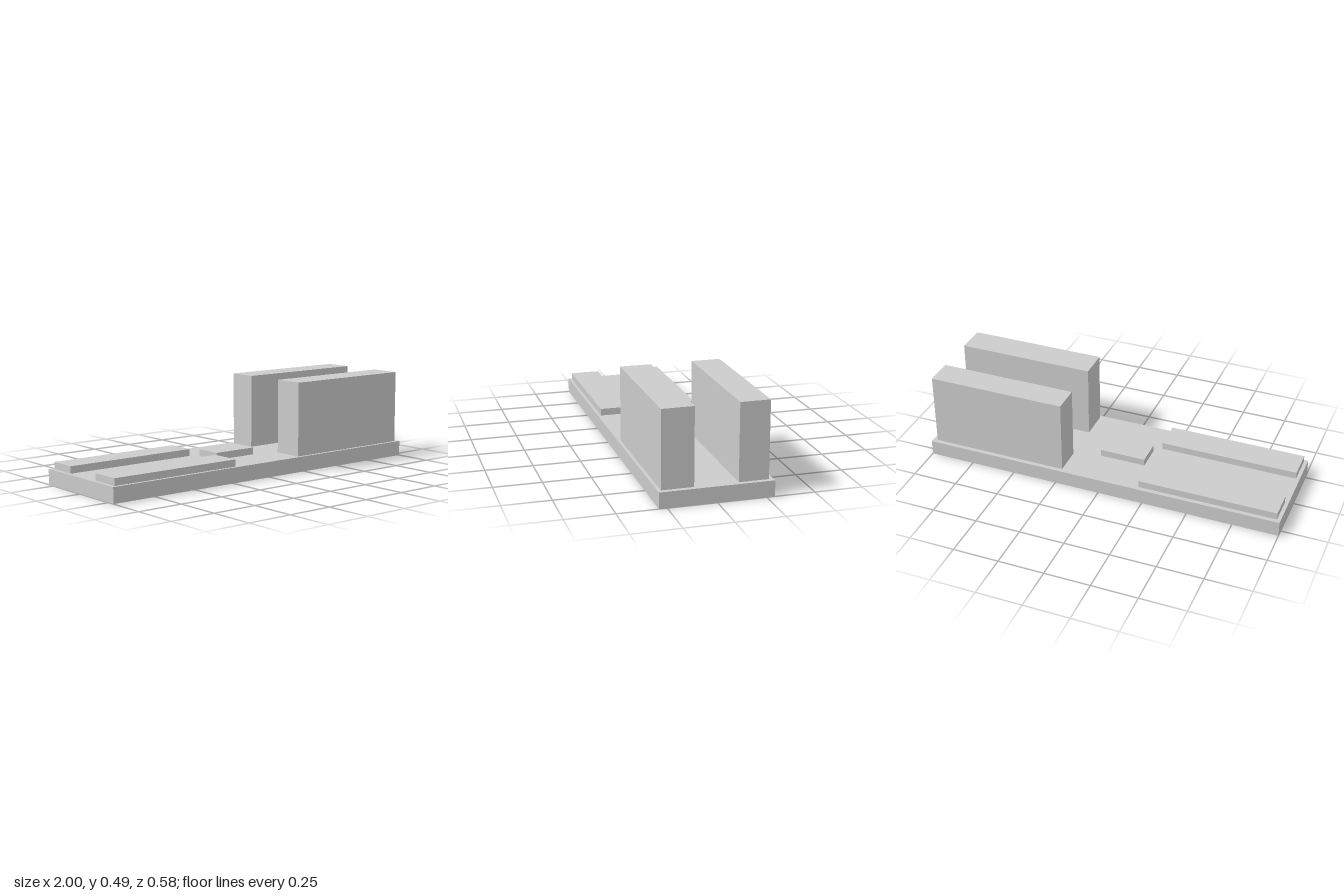
import * as THREE from 'three';

export function createModel() {
  const group = new THREE.Group();
  const material = new THREE.MeshStandardMaterial({ color: 0xcccccc, flatShading: true });

  // Adds a box spanning the given ranges on each axis
  function block(name, [x0, x1], [y0, y1], [z0, z1]) {
    const mesh = new THREE.Mesh(new THREE.BoxGeometry(x1 - x0, y1 - y0, z1 - z0), material);
    mesh.name = name;
    mesh.position.set((x0 + x1) / 2, (y0 + y1) / 2, (z0 + z1) / 2);
    group.add(mesh);
  }

  const baseTop = 0.083, lowTop = 0.121, tallTop = 0.485;
  const rows = { front: [0.11, 0.275], back: [-0.268, -0.114] };

  // Ground slab
  block('base', [-1, 1], [0, baseTop], [-0.292, 0.292]);

  // Tall blocks at the left end, low blocks at the right end, in two rows
  for (const [row, z] of Object.entries(rows)) {
    block(`${row}TallBlock`, [0.218, 0.975], [baseTop, tallTop], z);
    block(`${row}LowBlock`, [-0.98, -0.222], [baseTop, lowTop], z);
  }

  // Small block in the middle
  block('centreBlock', [-0.183, 0.071], [baseTop, lowTop], [-0.075, 0.07]);

  return group;
}
